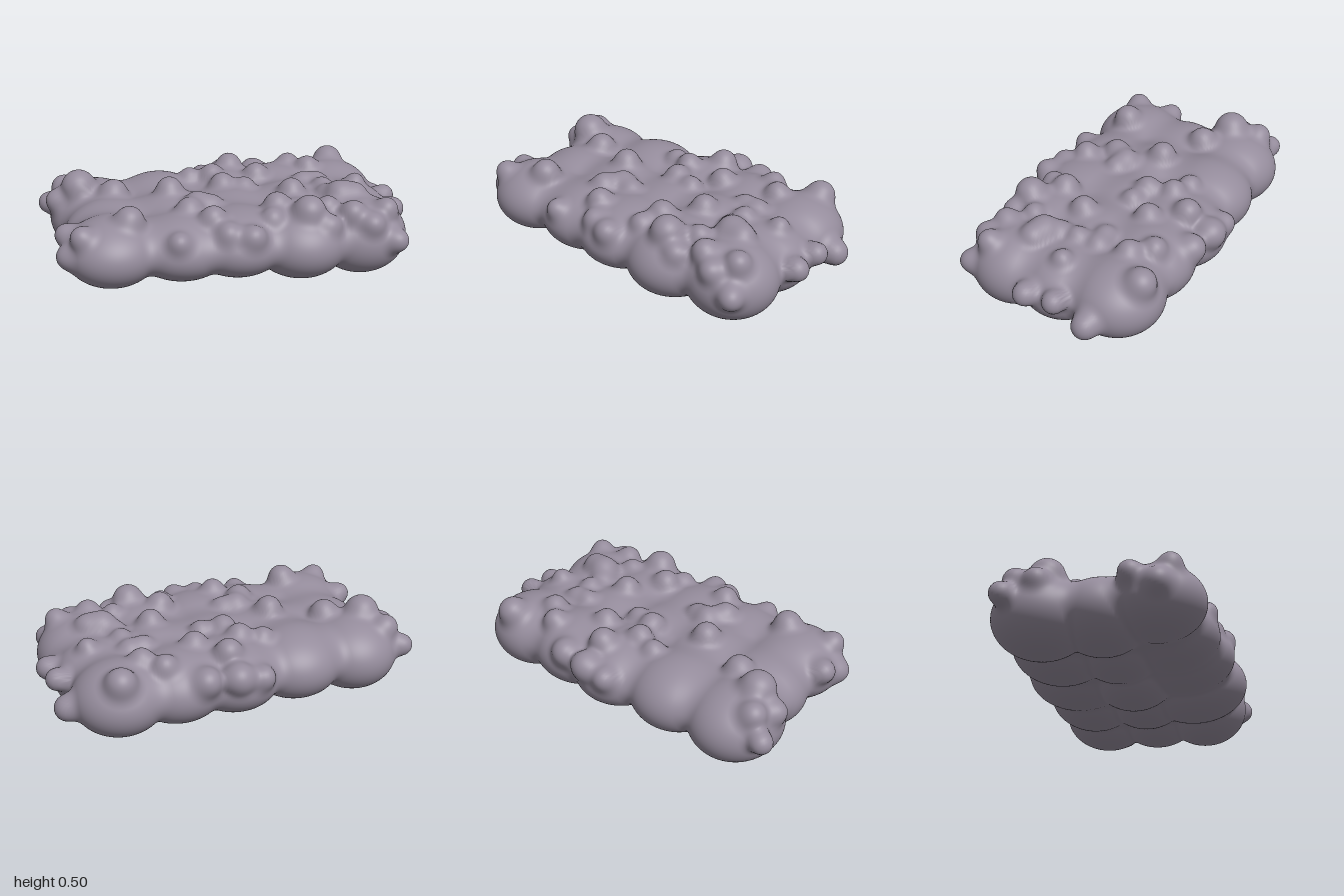
import * as THREE from 'three';

// Three rows of five large lobes, each with x, bottom, top and radius in z
const rows = [
  { z: 0.3, lobes: [[-0.68, 0.055, 0.42, 0.25], [-0.31, 0.06, 0.405, 0.25], [-0.02, 0.06, 0.415, 0.28],
    [0.32, 0.02, 0.425, 0.295], [0.66, 0.008, 0.42, 0.24]] },
  { z: 0.01, lobes: [[-0.65, 0.02, 0.4, 0.24], [-0.31, 0.025, 0.42, 0.24], [0.02, 0.002, 0.41, 0.24],
    [0.34, 0.02, 0.42, 0.24], [0.66, 0.025, 0.4, 0.24]] },
  { z: -0.29, lobes: [[-0.7, 0.005, 0.41, 0.26], [-0.34, 0.03, 0.42, 0.265], [0.03, 0.04, 0.42, 0.285],
    [0.34, 0.035, 0.42, 0.25], [0.66, 0.03, 0.42, 0.245]] },
];
const lobes = rows.flatMap(({ z, lobes: row }) => row.map(([x, low, high, rz], i) => ({
  x, y: (low + high) / 2, z, rx: i % 4 ? 0.265 : 0.25, ry: (high - low) / 2, rz,
})));

// Knobs on top: x, z, radius
const topKnobs = [
  [-0.86, -0.38, 0.07], [-0.79, -0.24, 0.095], [-0.61, -0.14, 0.075], [-0.32, -0.03, 0.07],
  [-0.16, -0.28, 0.055], [-0.04, -0.24, 0.06], [-0.01, -0.1, 0.065], [0.11, -0.07, 0.05],
  [0.09, -0.39, 0.07], [0.26, -0.5, 0.075], [0.1, -0.53, 0.055], [0.44, -0.38, 0.06],
  [0.7, -0.44, 0.08], [0.53, -0.28, 0.06], [0.21, -0.22, 0.065], [0.45, -0.1, 0.05],
  [0.53, -0.1, 0.055], [0.73, -0.01, 0.045], [0.53, 0.02, 0.05], [0.33, 0.1, 0.065],
  [0.58, 0.19, 0.085], [0.66, 0.21, 0.055], [0.52, 0.12, 0.05], [-0.2, 0.14, 0.07],
  [-0.26, 0.23, 0.065], [-0.12, 0.16, 0.05], [-0.59, 0.34, 0.075], [-0.16, 0.37, 0.065],
  [0.2, 0.29, 0.07], [0.15, 0.4, 0.05], [0.47, 0.32, 0.05], [0.34, 0.42, 0.085],
  [0.58, 0.42, 0.065], [0.77, 0.4, 0.06], [-0.84, 0.4, 0.06],
];

// Knobs round the rim: tip, radius, outward direction
const rimKnobs = [
  [0.995, 0.2, -0.25, 0.07, 1, 0, 0], [0.98, 0.28, -0.07, 0.06, 1, 0.1, 0],
  [0.98, 0.265, 0.1, 0.063, 1, 0.1, 0], [0.83, 0.24, 0.555, 0.06, 0.5, 0, 1],
  [-1.0, 0.25, -0.45, 0.06, -1, 0, -0.4], [-0.97, 0.34, -0.26, 0.06, -1, 0.3, 0],
  [-0.96, 0.33, 0.21, 0.06, -1, 0.4, 0], [-0.97, 0.25, 0.36, 0.06, -1, 0.1, 0.2],
  [-0.36, 0.35, 0.545, 0.05, 0, 0.4, 1], [-0.1, 0.38, 0.53, 0.055, 0, 0.6, 1],
  [0.02, 0.37, 0.575, 0.06, 0, 0.6, 1], [0.67, 0.36, 0.54, 0.055, 0, 0.4, 1],
  [0.44, 0.37, 0.52, 0.05, 0, 0.5, 1], [-0.04, 0.32, -0.6, 0.06, 0, 0.3, -1],
  [0.09, 0.34, -0.6, 0.07, 0, 0.3, -1],
];

// Union of two distances with a fillet of size k
const blend = (a, b, k) => {
  const h = Math.max(k - Math.abs(a - b), 0) / k;
  return Math.min(a, b) - h * h * k * 0.25;
};

// Distance to the lobes and the core between them; creases are sharper underneath
function bodyDistance(p) {
  const k = 0.015 + 0.05 * THREE.MathUtils.smoothstep(p.y, 0.04, 0.26);
  const qx = Math.abs(p.x) - 0.62, qy = Math.abs(p.y - 0.22), qz = Math.abs(p.z) - 0.32;
  let d = Math.hypot(Math.max(qx, 0), qy, Math.max(qz, 0)) - 0.12;
  for (const l of lobes) {
    const x = (p.x - l.x) / l.rx, y = (p.y - l.y) / l.ry, z = (p.z - l.z) / l.rz;
    const a = Math.hypot(x, y, z);
    const g = Math.hypot(x / l.rx, y / l.ry, z / l.rz) + 1e-6;
    d = blend(d, a * (a - 1) / g, k);
  }
  return d;
}

// Walk from outside towards the origin of the ray until the surface is met
function findSurface(origin, direction, start, distance) {
  const p = new THREE.Vector3();
  let t = start;
  for (let i = 0; i < 40; i++) {
    const d = distance(p.copy(origin).addScaledVector(direction, t));
    if (Math.abs(d) < 0.0003) break;
    t -= d * 0.75;
  }
  return p;
}

// Knob centres: top ones rest on the body, rim ones lie behind their tips
function placeKnobs() {
  const up = new THREE.Vector3(0, 1, 0);
  const top = topKnobs.map(([x, z, r]) => {
    const centre = findSurface(new THREE.Vector3(x, 0.22, z), up, 0.4, bodyDistance);
    centre.y += 0.08 * r;
    return { centre, r };
  });
  const rim = rimKnobs.map(([x, y, z, r, dx, dy, dz]) => {
    const out = new THREE.Vector3(dx, dy, dz).normalize();
    return { centre: new THREE.Vector3(x, y, z).addScaledVector(out, -r), r };
  });
  return [...top, ...rim];
}

export function createModel() {
  const knobs = placeKnobs();
  const distance = (p) => {
    let d = bodyDistance(p);
    for (const { centre, r } of knobs) d = blend(d, p.distanceTo(centre) - r, 0.055);
    return d;
  };

  // Fine box whose vertices are drawn in, towards a flat inner plate, onto the surface
  const geometry = new THREE.BoxGeometry(1.96, 0.6, 1.2, 150, 46, 92);
  const { position, normal } = geometry.attributes;
  const v = new THREE.Vector3(), plate = new THREE.Vector3(), n = new THREE.Vector3();
  const e = 0.002;
  for (let i = 0; i < position.count; i++) {
    v.fromBufferAttribute(position, i);
    plate.set(THREE.MathUtils.clamp(v.x, -0.68, 0.68), 0, THREE.MathUtils.clamp(v.z, -0.3, 0.3));
    v.sub(plate).normalize();
    plate.y = 0.23;
    const p = findSurface(plate, v, 0.55, distance);
    position.setXYZ(i, p.x, p.y, p.z);

    // Smooth normal from the slope of the distance
    for (const axis of ['x', 'y', 'z']) {
      const a = p.clone(), b = p.clone();
      a[axis] += e;
      b[axis] -= e;
      n[axis] = distance(a) - distance(b);
    }
    n.normalize();
    normal.setXYZ(i, n.x, n.y, n.z);
  }

  const stone = new THREE.MeshStandardMaterial({ color: 0x958c9c });
  stone.name = 'mauveGrey';
  const slab = new THREE.Mesh(geometry, stone);
  slab.name = 'knobblySlab';
  const group = new THREE.Group();
  group.add(slab);
  return group;
}
